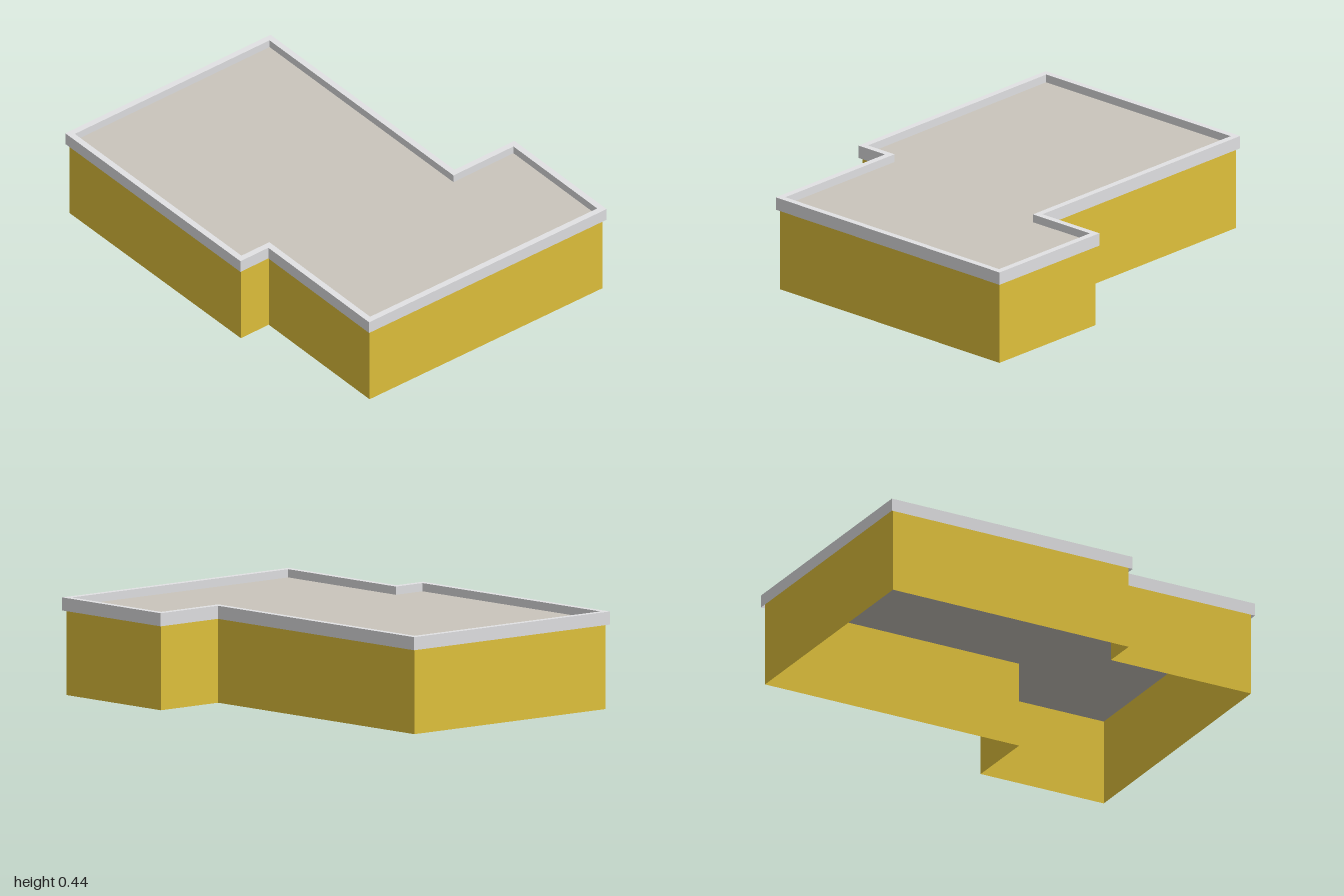
import * as THREE from 'three';

const trimBottom = 0.38, roofHeight = 0.402, trimTop = 0.439;

// Outer edge of the roof trim as [x, z], clockwise seen from above
const outline = [
  [-0.725, -0.999], [0.449, -0.966], [0.412, 0.335], [0.756, 0.344],
  [0.735, 0.999], [-0.62, 0.956], [-0.597, 0.24], [-0.757, 0.236],
];

// Move every edge of the outline inwards by d, with mitred corners
function inset(points, d) {
  const n = points.length;
  const normals = points.map(([x, z], i) => {
    const [x2, z2] = points[(i + 1) % n];
    const len = Math.hypot(x2 - x, z2 - z);
    return [-(z2 - z) / len, (x2 - x) / len];
  });
  return points.map(([x, z], i) => {
    const a = normals[(i + n - 1) % n], b = normals[i];
    const k = d / (1 + a[0] * b[0] + a[1] * b[1]);
    return [x + k * (a[0] + b[0]), z + k * (a[1] + b[1])];
  });
}

// Shape coordinates are (x, -z), so that rotating by -90 degrees lays them flat
const toVectors = (points) => points.map(([x, z]) => new THREE.Vector2(x, -z));

function flatGeometry(points, y, hole) {
  const shape = new THREE.Shape(toVectors(points));
  if (hole) shape.holes.push(new THREE.Path(toVectors(hole)));
  return new THREE.ShapeGeometry(shape).rotateX(-Math.PI / 2).translate(0, y, 0);
}

// Upright four-sided panel from a to b between two heights
function panel(a, b, y0, y1) {
  const corners = [[b, y0], [a, y0], [a, y1], [b, y0], [a, y1], [b, y1]];
  return corners.flatMap(([[x, z], y]) => [x, y, z]);
}

// Closed loop of panels along an outline
const band = (points, y0, y1) =>
  points.flatMap((p, i) => panel(p, points[(i + 1) % points.length], y0, y1));

function panelGeometry(positions) {
  const geometry = new THREE.BufferGeometry();
  geometry.setAttribute('position', new THREE.Float32BufferAttribute(positions, 3));
  geometry.computeVertexNormals();
  return geometry;
}

export function createModel() {
  const group = new THREE.Group();
  const make = (name, color) => {
    const m = new THREE.MeshStandardMaterial({ color, side: THREE.DoubleSide });
    m.name = name;
    return m;
  };
  const yellow = make('yellow wall', 0xe2c33c);
  const grey = make('light grey trim', 0xe2e2e4);
  const stone = make('warm grey roof', 0xcac5bc);
  const add = (name, geometry, material) => {
    const mesh = new THREE.Mesh(geometry, material);
    mesh.name = name;
    group.add(mesh);
  };

  // Thin outer walls, open underneath, reaching up to the roof inside the trim
  const wallLine = inset(outline, 0.013);
  add('walls', panelGeometry(band(wallLine, 0, roofHeight)), yellow);

  // Flat roof, sunk below the trim
  add('roof', flatGeometry(wallLine, roofHeight), stone);

  // Raised trim around the roof edge, open underneath
  const inner = inset(outline, 0.03);
  const sides = [...band(outline, trimBottom, trimTop), ...band(inner, roofHeight, trimTop)];
  add('trimSides', panelGeometry(sides), grey);
  add('trimTop', flatGeometry(outline, trimTop, inner), grey);

  // Flat panel standing just off the side wall
  add('wallPanel', panelGeometry(panel([-0.754, -0.22], [-0.745, -0.54], 0.265, 0.343)), yellow);

  return group;
}
